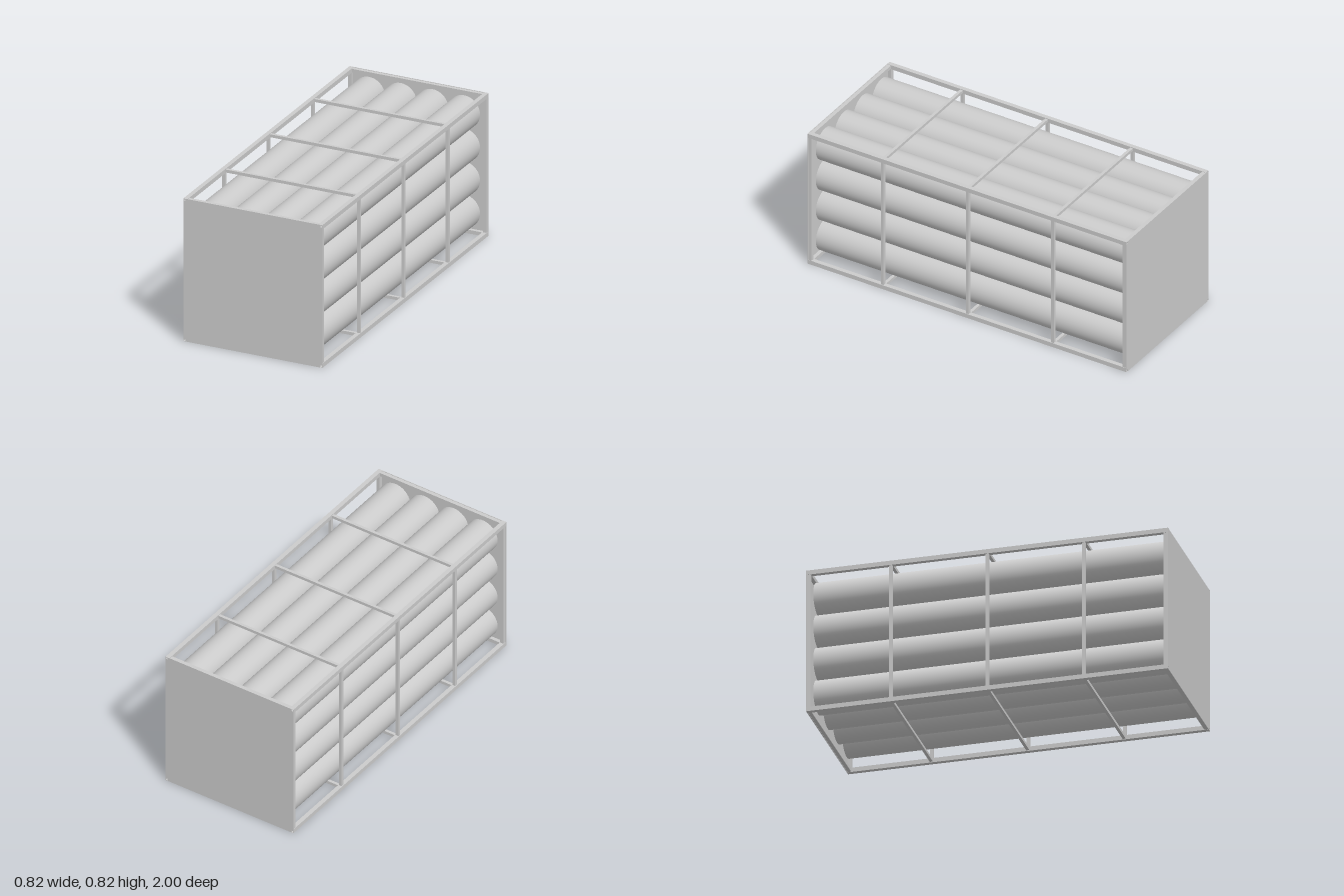
import * as THREE from 'three';

const H = 0.825, X = H / 2;      // height and half width of the crate
const BAR = 0.025, RIB = 0.017;  // edge bars and thinner ribs
const EDGE = X - BAR / 2;        // centre line of the edge bars
const NOTCH = 0.013;

export function createModel() {
  const model = new THREE.Group();
  const mat = new THREE.MeshStandardMaterial({ color: 0xcccccc, side: THREE.DoubleSide });

  const add = (name, geometry, x, y, z) => {
    const mesh = new THREE.Mesh(geometry, mat);
    mesh.name = name;
    mesh.position.set(x, y, z);
    model.add(mesh);
    return mesh;
  };
  const box = (name, w, h, d, x, y, z) => add(name, new THREE.BoxGeometry(w, h, d), x, y, z);
  const square = (Type, s) => new Type([[-s, -s], [s, -s], [s, s], [-s, s]].map(([x, y]) => new THREE.Vector2(x, y)));

  // Four hollow square tubes along the length
  const tube = square(THREE.Shape, BAR / 2);
  tube.holes.push(square(THREE.Path, BAR / 2 - 0.0015));
  const tubeGeo = new THREE.ExtrudeGeometry(tube, { depth: 2, bevelEnabled: false });
  for (const sx of [-1, 1]) for (const sy of [-1, 1])
    add('longEdgeTube', tubeGeo, sx * EDGE, X + sy * EDGE, -1);

  // End panels with notched corners that leave the tubes open
  const a = X, b = X - NOTCH;
  const outline = new THREE.Shape([
    [-b, -a], [b, -a], [b, -b], [a, -b], [a, b], [b, b],
    [b, a], [-b, a], [-b, b], [-a, b], [-a, -b], [-b, -b],
  ].map(([x, y]) => new THREE.Vector2(x, y)));
  const panelGeo = new THREE.ExtrudeGeometry(outline, { depth: 0.004, bevelEnabled: false });
  add('frontPanel', panelGeo, 0, X, 0.996);
  add('backPanel', panelGeo, 0, X, -1);

  // Square hoops of bars: one at each end, three thinner ones between
  const hoop = (name, z, t) => {
    const span = H - 2 * BAR;
    for (const s of [-1, 1]) {
      box(name + 'Crossbar', span, t, t, 0, X + s * EDGE, z);
      box(name + 'Upright', t, span, t, s * EDGE, X, z);
    }
  };
  for (const s of [-1, 1]) hoop('end', s * (0.996 - 0.0105), 0.021);
  for (const z of [-0.533, 0, 0.533]) hoop('rib', z, RIB);

  // Stack of sixteen long cylinders
  const cylinderGeo = new THREE.CylinderGeometry(0.094, 0.094, 1.94, 48).rotateX(Math.PI / 2);
  for (let col = 0; col < 4; col++) for (let row = 0; row < 4; row++)
    add('cylinder', cylinderGeo, (col - 1.5) * 0.188, 0.418 + (row - 1.5) * 0.191, 0);

  return model;
}
